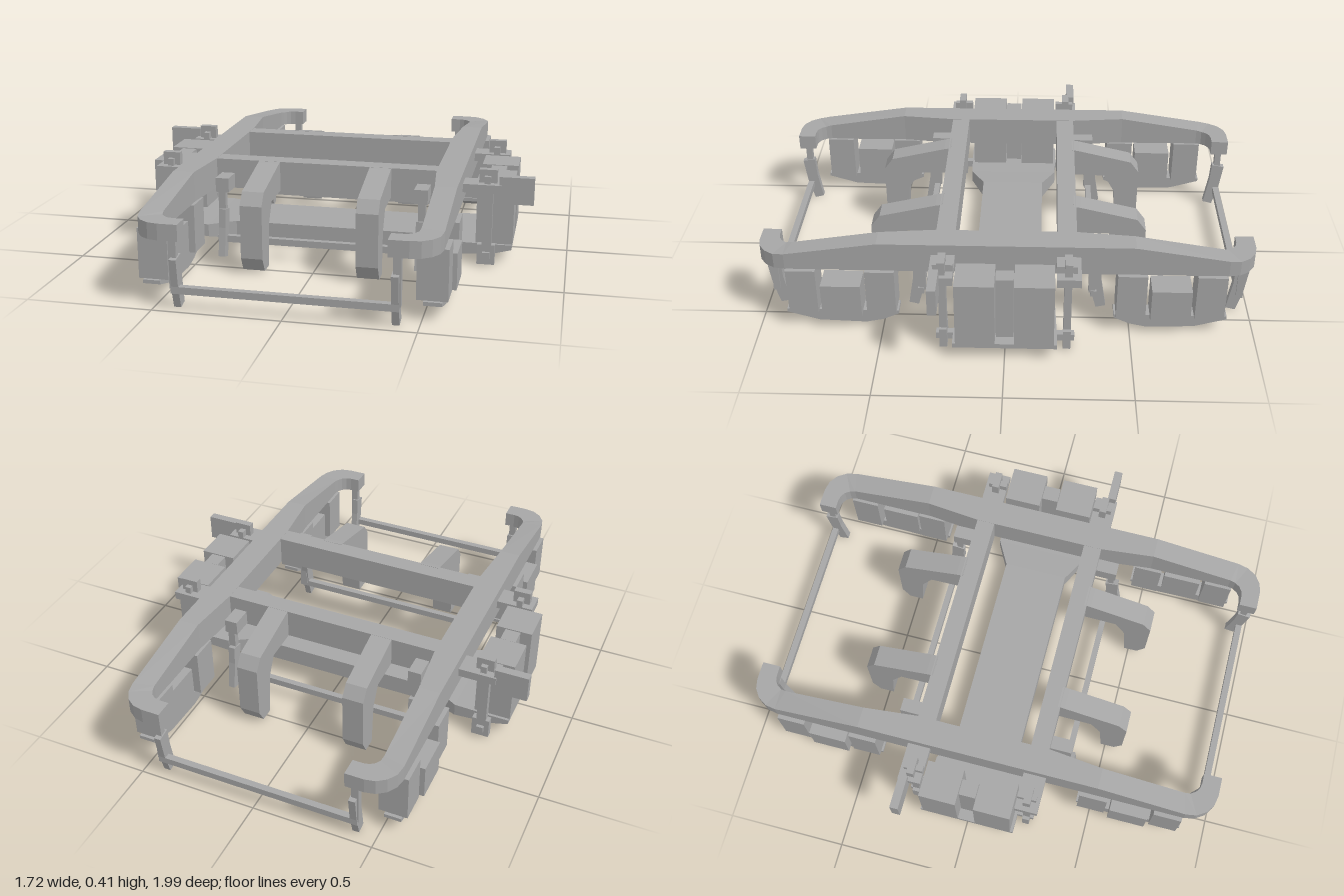
import * as THREE from 'three';

const steel = new THREE.MeshStandardMaterial({ color: 0xa6a6a6, flatShading: true });
steel.name = 'greySteel';

function add(group, name, geometry) {
  const mesh = new THREE.Mesh(geometry, steel);
  mesh.name = name;
  group.add(mesh);
  return mesh;
}

// Box given by its limits on each axis
function box(group, name, x0, x1, y0, y1, z0, z1) {
  const g = new THREE.BoxGeometry(x1 - x0, y1 - y0, Math.abs(z1 - z0));
  g.translate((x0 + x1) / 2, (y0 + y1) / 2, (z0 + z1) / 2);
  return add(group, name, g);
}

// Side profile of [z, y] points, extruded across x; s mirrors it in z
function profile(group, name, points, x0, x1, s = 1) {
  const shape = new THREE.Shape(points.map(([z, y]) => new THREE.Vector2(s * z, y)));
  const g = new THREE.ExtrudeGeometry(shape, { depth: x1 - x0, bevelEnabled: false });
  g.rotateY(-Math.PI / 2).translate(x1, 0, 0);
  return add(group, name, g);
}

// Skin over four-cornered cross-sections, capped at both ends
function loft(rings) {
  const pos = [];
  const quad = (a, b, c, d) => pos.push(...a, ...b, ...c, ...a, ...c, ...d);
  for (let i = 0; i + 1 < rings.length; i++) {
    const p = rings[i], q = rings[i + 1];
    for (let k = 0; k < 4; k++) quad(p[k], p[(k + 1) % 4], q[(k + 1) % 4], q[k]);
  }
  const s = rings[0], e = rings[rings.length - 1];
  quad(s[0], s[3], s[2], s[1]);
  quad(e[0], e[1], e[2], e[3]);
  const g = new THREE.BufferGeometry();
  g.setAttribute('position', new THREE.Float32BufferAttribute(pos, 3));
  g.computeVertexNormals();
  return g;
}

// Side frame: sloping ends, corners curving inwards
function sideFrameGeometry() {
  // inner x, inner z, outer x, outer z, top y
  const half = [
    [0.465, 0.28, 0.575, 0.28, 0.4],
    [0.488, 0.51, 0.575, 0.51, 0.4],
    [0.488, 0.86, 0.575, 0.88, 0.345],
  ];
  for (let i = 1; i <= 4; i++) {
    const a = (i / 4) * Math.PI / 2, c = Math.cos(a), s = Math.sin(a);
    half.push([0.43 + 0.058 * c, 0.86 + 0.06 * s, 0.465 + 0.11 * c, 0.88 + 0.115 * s, 0.34]);
  }
  half.push([0.388, 0.92, 0.388, 0.995, 0.34]);
  const back = half.map(([a, b, c, d, t]) => [a, -b, c, -d, t]).reverse();
  return loft([...back, ...half].map(([xi, zi, xo, zo, t]) =>
    [[xi, 0.275, zi], [xo, 0.275, zo], [xo, t, zo], [xi, t, zi]]));
}

// Low plank that carries the springs, flared at its ends
function plankGeometry() {
  // x, half width in z, bottom, top
  const half = [[0.43, 0.14, 0, 0.08], [0.54, 0.2, 0.02, 0.075], [0.7, 0.205, 0.035, 0.075], [0.775, 0.205, 0.055, 0.075]];
  const left = half.map(([x, ...r]) => [-x, ...r]).reverse();
  return loft([...left, ...half].map(([x, w, b, t]) =>
    [[x, b, -w], [x, t, -w], [x, t, w], [x, b, w]]));
}

const WHEEL_Z = 0.66;
const shoe = [[0.99, 0.2], [0.935, 0.21], [0.93, 0.13], [0.91, 0.01], [0.95, 0], [0.975, 0.09]];
const keeper = [[0.435, 0.075], [0.435, 0.06], [0.5, 0.03], [0.57, 0.015], [0.76, 0.022], [0.89, 0.06], [0.89, 0.075]];
const noseArm = [[0.27, 0.4], [0.3, 0.395], [0.535, 0.34], [0.572, 0.29], [0.572, 0.07], [0.54, 0.012],
  [0.48, 0.012], [0.465, 0.19], [0.42, 0.27], [0.27, 0.275]];
const acrossWheel = (points) => points.map(([z, y]) => [2 * WHEEL_Z - z, y]);

// Everything on the +x side
function buildSide() {
  const side = new THREE.Group();
  add(side, 'sideFrame', sideFrameGeometry());

  // Springs with a damper between them
  box(side, 'damper', 0.665, 0.73, 0.075, 0.35, -0.035, 0.035);

  for (const s of [1, -1]) {
    box(side, 'spring', 0.625, 0.778, 0.075, 0.352, s * 0.038, s * 0.193);

    // Swing hanger with bracket and cross pins
    box(side, 'hangerBracket', 0.56, 0.73, 0.32, 0.355, s * 0.2, s * 0.295);
    box(side, 'hangerHead', 0.637, 0.71, 0.355, 0.41, s * 0.23, s * 0.26);
    box(side, 'hangerRod', 0.655, 0.695, 0.05, 0.36, s * 0.23, s * 0.26);
    box(side, 'hangerFoot', 0.637, 0.71, 0.005, 0.09, s * 0.23, s * 0.26);
    box(side, 'upperPin', 0.66, 0.685, 0.355, 0.385, s * 0.2, s * 0.28);
    box(side, 'lowerPin', 0.66, 0.69, 0.03, 0.06, s * 0.18, s * 0.275);

    // Axle box between two pedestals, closed below by a keeper
    for (const z of [0.502, 0.817]) {
      box(side, 'pedestal', 0.475, 0.593, 0.075, 0.276, s * (z - 0.059), s * (z + 0.059));
    }
    box(side, 'axleBox', 0.495, 0.608, 0.07, 0.215, s * 0.58, s * 0.74);
    profile(side, 'axleKeeper', keeper, 0.503, 0.573, s);

    // Brake shoes on both sides of the wheel
    profile(side, 'outerBrakeShoe', shoe, 0.4, 0.428, s);
    profile(side, 'innerBrakeShoe', acrossWheel(shoe), 0.4, 0.428, s);
    box(side, 'outerBrakeLink', 0.405, 0.435, 0.08, 0.28, s * 0.945, s * 0.972);
    box(side, 'innerBrakeLink', 0.405, 0.435, 0.08, 0.3, s * 0.337, s * 0.364);
    box(side, 'innerBrakeBracket', 0.388, 0.444, 0.28, 0.34, s * 0.27, s * 0.37);

    // Motor support arm
    profile(side, 'noseArm', noseArm, 0.19, 0.28, s);
  }

  // Single outrigger plate
  box(side, 'outriggerPlate', 0.72, 0.86, 0.278, 0.39, 0.252, 0.287);
  return side;
}

export function createModel() {
  const model = new THREE.Group();
  model.name = 'bogieFrame';

  // Two equal sides, the second turned half round
  const left = buildSide();
  left.name = 'leftSide';
  const right = left.clone();
  right.name = 'rightSide';
  right.rotation.y = Math.PI;
  model.add(left, right);

  add(model, 'springPlank', plankGeometry());

  // Cross members and brake beams
  for (const s of [1, -1]) {
    box(model, 'transom', -0.48, 0.48, 0.275, 0.399, s * 0.203, s * 0.28);
    box(model, 'innerBrakeBeam', -0.44, 0.44, 0.062, 0.09, s * 0.345, s * 0.37);
    box(model, 'outerBrakeBeam', -0.43, 0.43, 0.062, 0.09, s * 0.948, s * 0.975);
  }
  return model;
}
